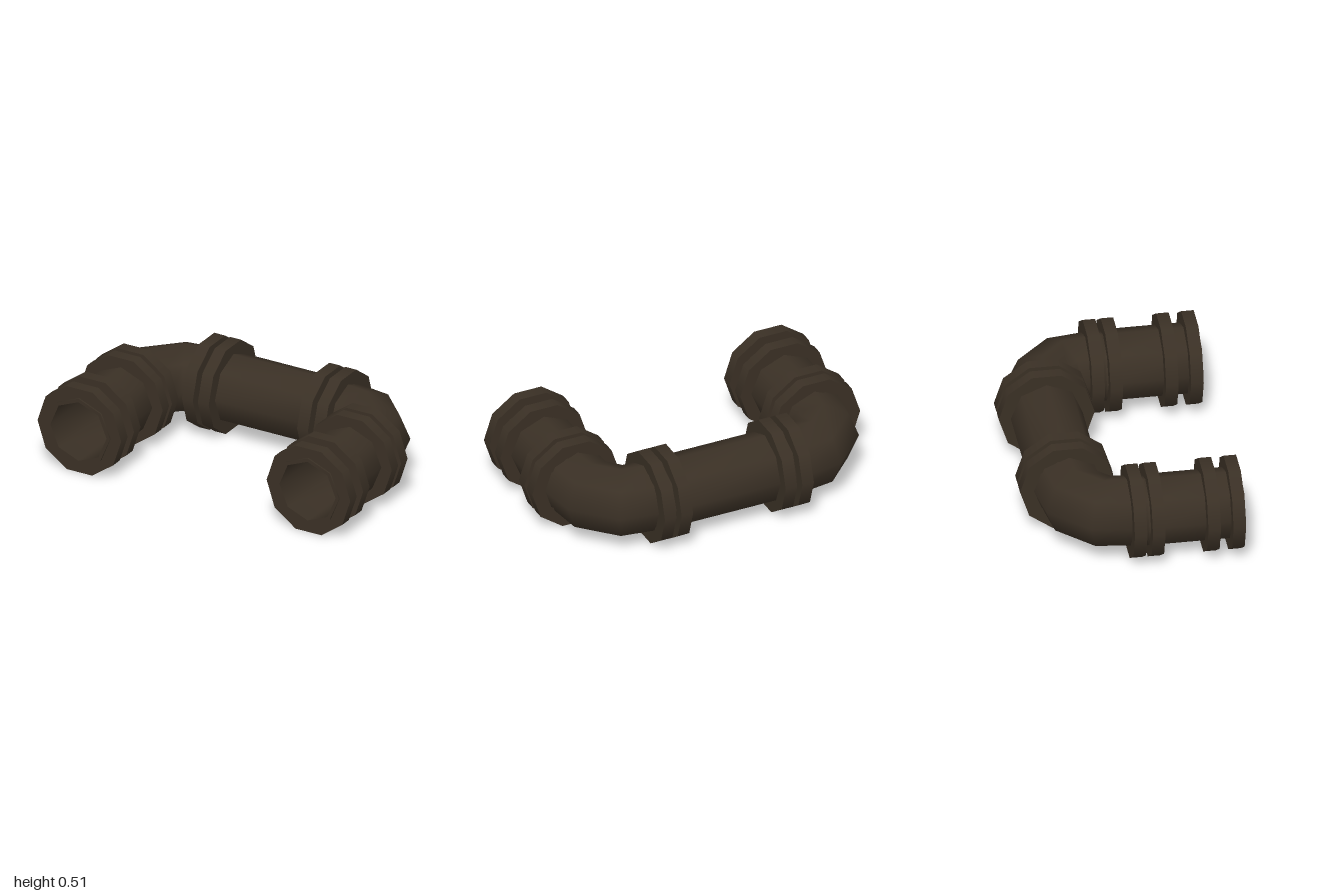
import * as THREE from 'three';

const Y = 0.256, LEG_X = 0.734, BACK_Z = -0.327;
const R_OUT = 0.201, R_IN = 0.18, SIDES = 8;

// Octagonal wall swept through sections [x, z, tangentX, tangentZ]
function sweep(sections, radius, inward) {
  const pos = [], idx = [];
  for (const [x, z, tx, tz] of sections) {
    for (let j = 0; j < SIDES; j++) {
      const a = (j / SIDES) * Math.PI * 2, c = Math.cos(a) * radius;
      pos.push(x + c * tz, Y + Math.sin(a) * radius, z - c * tx);
    }
  }
  for (let i = 0; i < sections.length - 1; i++) {
    for (let j = 0; j < SIDES; j++) {
      const a = i * SIDES + j, b = i * SIDES + (j + 1) % SIDES;
      const c = a + SIDES, d = b + SIDES;
      if (inward) idx.push(a, c, b, b, c, d);
      else idx.push(a, b, c, b, d, c);
    }
  }
  const g = new THREE.BufferGeometry();
  g.setAttribute('position', new THREE.Float32BufferAttribute(pos, 3));
  g.setIndex(idx);
  g.computeVertexNormals();
  return g;
}

export function createModel() {
  const model = new THREE.Group();
  model.name = 'pipe';
  const iron = new THREE.MeshStandardMaterial({ color: 0x3a3025 });
  iron.name = 'dark brown iron';

  function add(geometry, name, parent = model) {
    const m = new THREE.Mesh(geometry, iron);
    m.name = name;
    parent.add(m);
    return m;
  }
  function addPipe(sections, name) {
    const g = new THREE.Group();
    g.name = name;
    add(sweep(sections, R_OUT, false), 'outerWall', g);
    add(sweep(sections, R_IN, true), 'innerWall', g);
    model.add(g);
  }

  // Ten-sided collar around the pipe, axis along z
  function addCollar(x, z, turn) {
    const g = new THREE.Group();
    g.name = 'collar';
    const r = 0.268, w = 0.07;
    const rim = new THREE.CylinderGeometry(r, r, w, 10, 1, true, Math.PI / 2);
    add(rim.rotateX(Math.PI / 2), 'collarRim', g);
    const face = new THREE.RingGeometry(0.188, r, 10);
    add(face, 'collarFace', g).position.z = w / 2;
    const back = add(face, 'collarFace', g);
    back.position.z = -w / 2;
    back.rotation.y = Math.PI;
    g.position.set(x, Y, z);
    g.rotation.y = turn;
    model.add(g);
  }

  // Elbow bends in three straight facets
  const elbow = [
    [-LEG_X, 0.05, 0, -1],
    [-0.71, -0.172, 0.456, -0.89],
    [-0.582, -0.304, 0.89, -0.456],
    [-0.39, BACK_Z, 1, 0],
  ];
  const mirror = (s) => s.map(([x, z, tx, tz]) => [-x, z, tx, -tz]).reverse();
  const leg = [[-LEG_X, 0.59, 0, -1], [-LEG_X, 0.05, 0, -1]];

  addPipe([[-0.39, BACK_Z, 1, 0], [0.39, BACK_Z, 1, 0]], 'crossPipe');
  addPipe(leg, 'rightLeg');
  addPipe(mirror(leg), 'leftLeg');
  addPipe(elbow, 'rightElbow');
  addPipe(mirror(elbow), 'leftElbow');

  for (const side of [-1, 1]) {
    // Lip closing the wall thickness at the open end
    add(new THREE.RingGeometry(R_IN, R_OUT, SIDES), 'openingLip')
      .position.set(side * LEG_X, Y, 0.59);
    for (const z of [0.545, 0.405, 0.095, -0.006]) addCollar(side * LEG_X, z, 0);
    for (const x of [0.42, 0.318]) addCollar(side * x, BACK_Z, Math.PI / 2);
  }
  return model;
}
